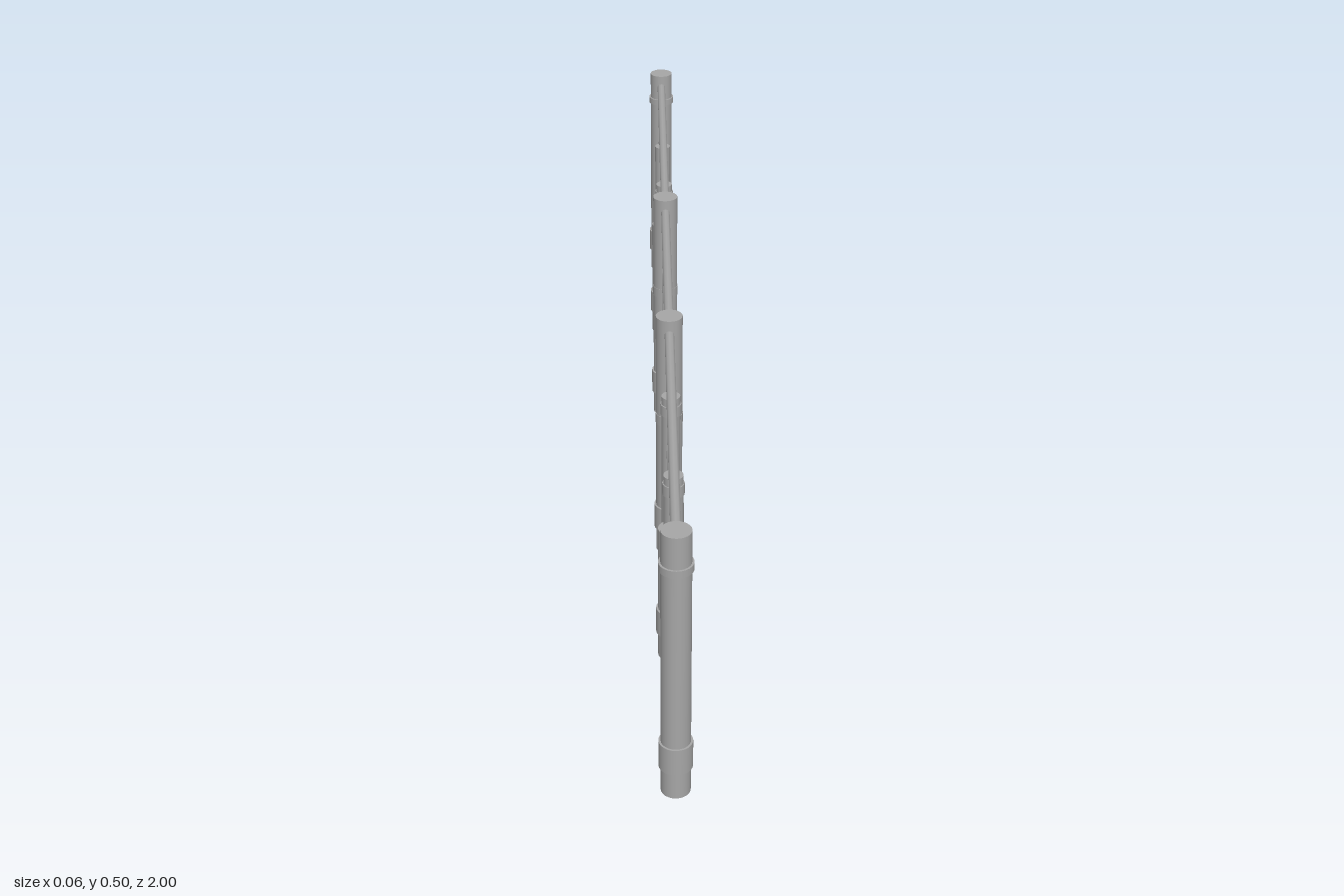
import * as THREE from 'three';

export function createModel() {
  const model = new THREE.Group();
  model.name = 'railing';
  const metal = new THREE.MeshStandardMaterial({ color: 0xa6a6a6 });
  metal.name = 'grey metal';

  // Upright cylinder spanning y0..y1 at position z
  const upright = (name, r, y0, y1, z, parent = model) => {
    const m = new THREE.Mesh(new THREE.CylinderGeometry(r, r, y1 - y0, 24), metal);
    m.name = name;
    m.position.set(0, (y0 + y1) / 2, z);
    parent.add(m);
  };
  // Horizontal bar along z
  const rail = (name, r, y, z0, z1) => {
    const m = new THREE.Mesh(new THREE.CylinderGeometry(r, r, Math.abs(z1 - z0), 10), metal);
    m.name = name;
    m.rotation.x = Math.PI / 2;
    m.position.set(0, y, (z0 + z1) / 2);
    model.add(m);
  };

  // Full-height and short posts with foot sleeves: [z, height, collar bottom, collar top, collar radius]
  const posts = [
    [0.972, 0.5, 0.43, 0.443, 0.028], [0.267, 0.5, 0.28, 0.3, 0.0255],
    [-0.263, 0.5, 0.28, 0.3, 0.0255], [-0.972, 0.5, 0.43, 0.443, 0.028],
    [0.607, 0.265], [-0.642, 0.265],
  ];
  for (const [z, h, c0, c1, cr] of posts) {
    const post = new THREE.Group();
    post.name = h > 0.4 ? 'tallPost' : 'shortPost';
    upright('postShaft', 0.0245, 0, h, z, post);
    upright('footSleeve', 0.028, 0.05, 0.1, z, post);
    if (c0) upright('postCollar', cr, c0, c1, z, post);
    model.add(post);
  }

  // Slim uprights hung on the rails: [z, bottom, top, has collar]
  const slim = [
    [0.725, 0.14, 0.445, true], [0.455, 0.14, 0.44, true], [0.044, 0.075, 0.29, false],
    [-0.086, 0.075, 0.29, false], [-0.452, 0.105, 0.445, true], [-0.722, 0.085, 0.42, false],
  ];
  for (const [z, y0, y1, collar] of slim) {
    upright('slimUpright', 0.0165, y0, y1, z);
    if (collar) upright('slimCollar', 0.0185, y1 - 0.035, y1 - 0.015, z);
  }

  // Four horizontal rails
  rail('topRail', 0.009, 0.472, 0.267, 0.972);
  rail('topRail', 0.009, 0.473, -0.972, 0.267);
  rail('upperRail', 0.008, 0.334, -0.972, 0.972);
  rail('middleRail', 0.007, 0.242, -0.972, 0.972);
  rail('lowerRail', 0.007, 0.158, -0.972, 0.972);
  rail('railSplice', 0.006, 0.339, -0.04, 0.03);

  // Small turned spindles between the rails
  const profile = [
    [0, 0], [0.007, 0], [0.007, 0.12], [0.0045, 0.18], [0.0075, 0.34],
    [0.0055, 0.5], [0.0075, 0.66], [0.0045, 0.82], [0.007, 0.88], [0.007, 1], [0, 1],
  ].map(([r, t]) => new THREE.Vector2(r, t));
  const spindleGeometry = new THREE.LatheGeometry(profile, 12);
  const spindles = (name, y0, y1, zs) => {
    for (const z of zs) {
      const m = new THREE.Mesh(spindleGeometry, metal);
      m.name = name;
      m.scale.y = y1 - y0;
      m.position.set(0, y0, z);
      model.add(m);
    }
  };
  spindles('upperSpindle', 0.242, 0.334, [0.82, 0.365, 0.125, -0.175, -0.815]);
  spindles('lowerSpindle', 0.158, 0.242, [
    0.875, 0.77, 0.565, 0.495, 0.425, 0.305, 0.23,
    -0.115, -0.22, -0.305, -0.42, -0.485, -0.59, -0.77,
  ]);

  return model;
}
